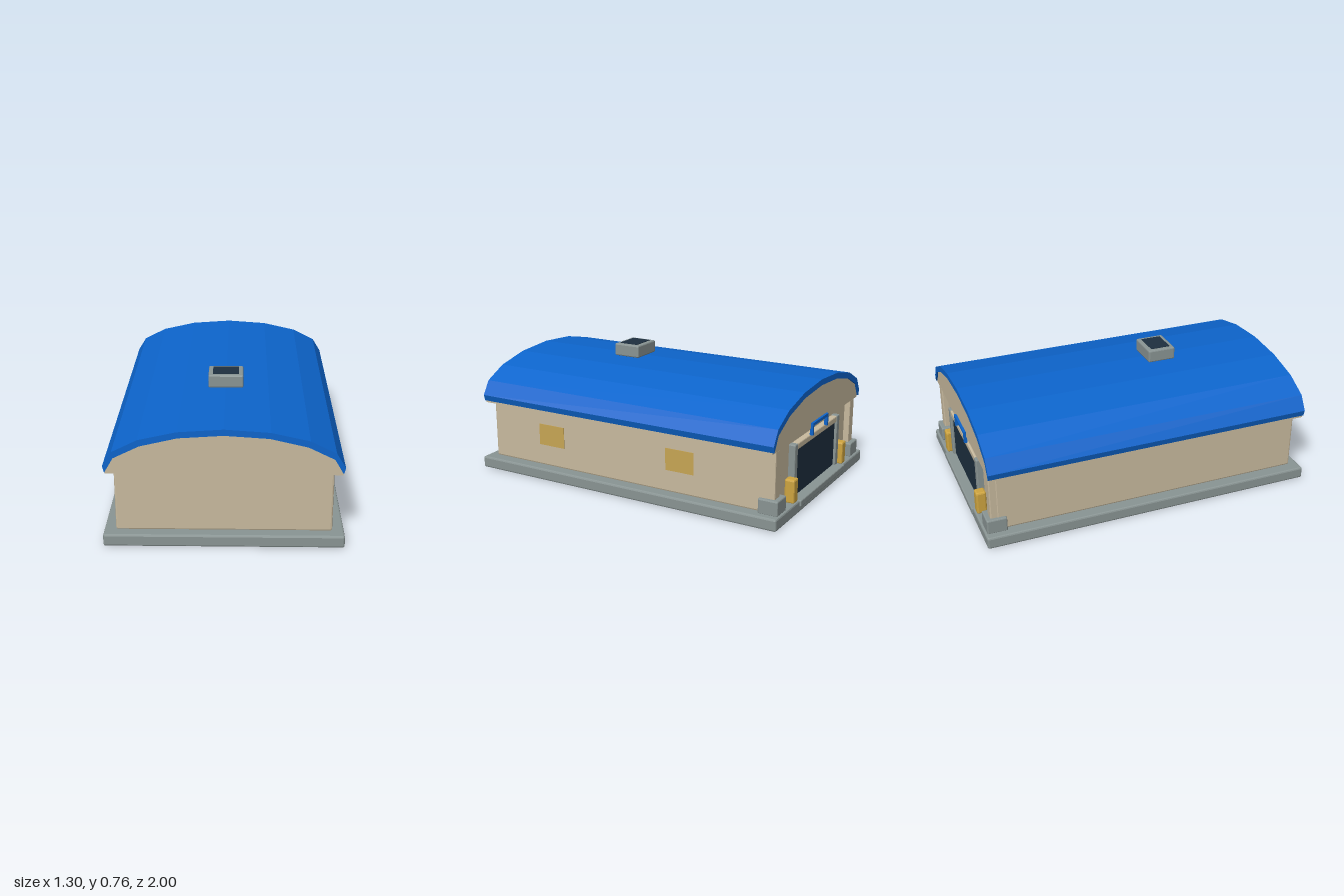
import * as THREE from 'three';
import { RoundedBoxGeometry } from 'three/addons/geometries/RoundedBoxGeometry.js';

const paint = (name, color) => {
  const m = new THREE.MeshStandardMaterial({ color });
  m.name = name;
  return m;
};

export function createModel() {
  const model = new THREE.Group();
  model.name = 'warehouse';
  const wall = paint('sand wall', 0xc9bb9f);
  const roofBlue = paint('roof blue', 0x0d65cd);
  const stone = paint('grey stone', 0x8a9594);
  const glass = paint('dark navy', 0x1e3040);
  const amber = paint('amber window', 0xc8a655);
  const yellow = paint('bollard yellow', 0xcfa540);

  const add = (name, geometry, material) => {
    const mesh = new THREE.Mesh(geometry, material);
    mesh.name = name;
    model.add(mesh);
    return mesh;
  };
  // Box given by its limits on each axis, with chamfered edges when bevel > 0
  const box = (name, material, [x0, x1], [y0, y1], [z0, z1], bevel = 0) => {
    const size = [x1 - x0, y1 - y0, z1 - z0];
    const g = bevel
      ? new RoundedBoxGeometry(...size, 1, bevel)
      : new THREE.BoxGeometry(...size);
    if (bevel) g.computeVertexNormals();
    g.translate((x0 + x1) / 2, (y0 + y1) / 2, (z0 + z1) / 2);
    return add(name, g, material);
  };
  // Outline in x and y, extruded from z0 to z1
  const prism = (name, material, points, z0, z1) => {
    const shape = new THREE.Shape(points.map(([x, y]) => new THREE.Vector2(x, y)));
    const g = new THREE.ExtrudeGeometry(shape, { depth: z1 - z0, bevelEnabled: false });
    g.translate(0, 0, z0);
    return add(name, g, material);
  };
  // Full arc, right to left, from the half profile that starts at the ridge
  const arc = (half) => [
    ...half.slice(1).reverse(),
    ...half.map(([x, y]) => [-x, y]),
  ];

  // Base slab and main hall
  box('baseSlab', stone, [-0.65, 0.65], [0, 0.07], [-0.99, 1], 0.01);
  box('hallWalls', wall, [-0.585, 0.585], [0.07, 0.43], [-0.915, 0.94], 0.01);

  // Arched roof shell over a solid gable block
  const outer = arc([[0, 0.68], [0.245, 0.663], [0.45, 0.617], [0.588, 0.548], [0.638, 0.466]]);
  const inner = arc([[0, 0.645], [0.24, 0.629], [0.44, 0.582], [0.58, 0.513], [0.628, 0.43]]);
  prism('roofShell', roofBlue, [...outer, ...inner.slice().reverse()], -0.96, 0.98);
  prism('gableBlock', wall, [...inner, [-0.628, 0.42], [0.628, 0.42]], -0.95, 0.97);

  // Skylight on the ridge
  box('skylightFrame', stone, [-0.1, 0.1], [0.678, 0.754], [0.2, 0.37], 0.008);
  box('skylightGlass', glass, [-0.075, 0.075], [0.75, 0.757], [0.225, 0.345]);

  // Side windows on the left wall
  for (const z of [0.51, -0.37]) {
    box('sideWindow', amber, [0.583, 0.588], [0.2, 0.33], [z - 0.09, z + 0.09]);
  }

  // Back entrance: mirrored posts, plinths, jambs and bollards
  for (const s of [-1, 1]) {
    const span = (a, b) => (s > 0 ? [a, b] : [-b, -a]);
    box('cornerPost', wall, span(0.515, 0.583), [0.07, 0.425], [-0.95, -0.88], 0.006);
    box('postPlinth', stone, span(0.488, 0.605), [0.065, 0.153], [-0.977, -0.86], 0.007);
    box('doorJamb', stone, span(0.292, 0.335), [0.065, 0.385], [-0.953, -0.9], 0.006);
    box('bollard', yellow, span(0.335, 0.395), [0.065, 0.205], [-0.98, -0.92], 0.01);
    box('bracketLeg', roofBlue, span(0.1, 0.116), [0.38, 0.45], [-0.964, -0.945]);
  }
  box('bracketBar', roofBlue, [-0.116, 0.116], [0.434, 0.452], [-0.964, -0.945]);
  box('doorLintel', wall, [-0.295, 0.295], [0.345, 0.383], [-0.95, -0.9], 0.006);
  box('doorPanel', glass, [-0.293, 0.293], [0.07, 0.346], [-0.938, -0.91]);
  box('doorSill', stone, [-0.335, 0.335], [0.033, 0.072], [-1, -0.93], 0.006);

  return model;
}
